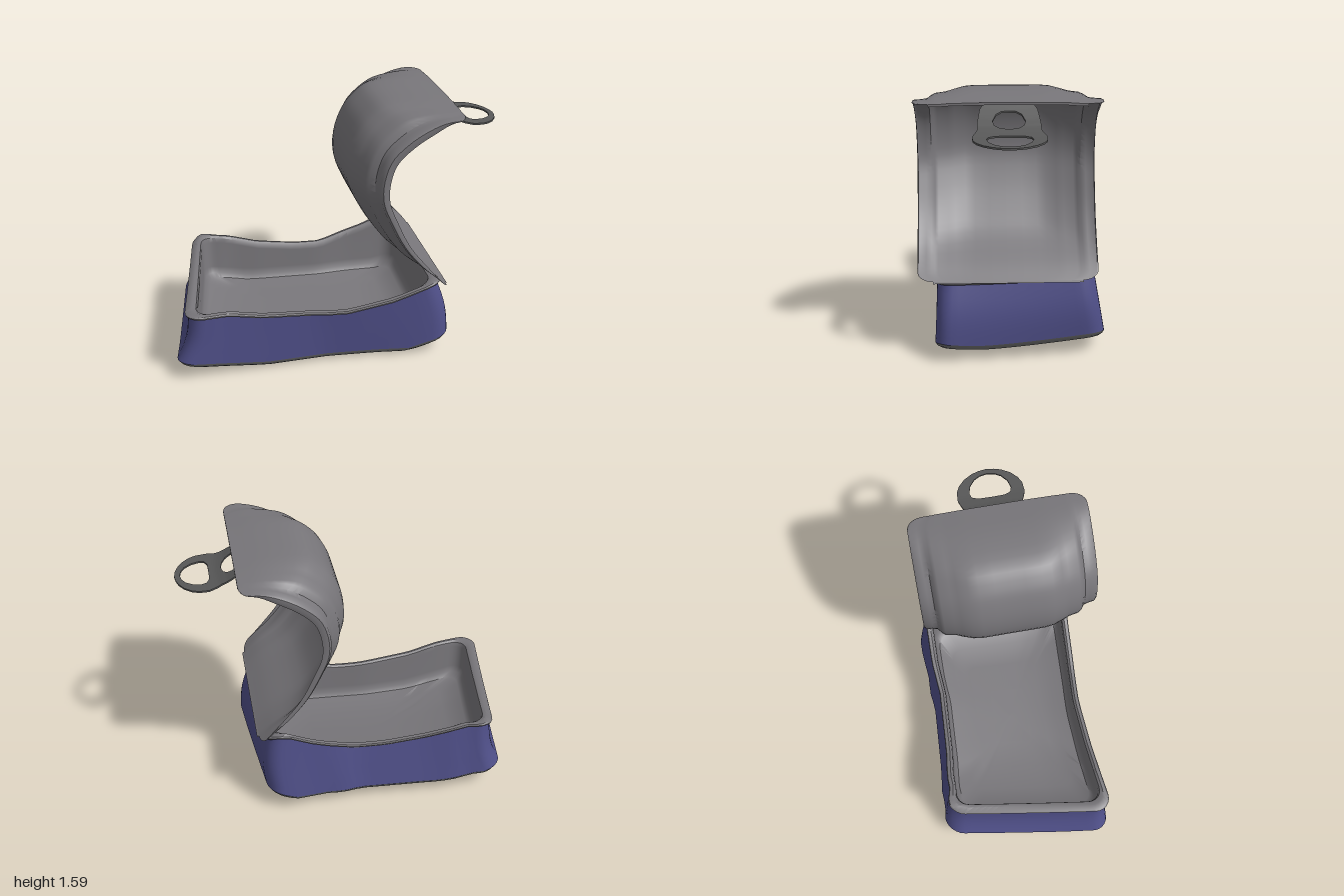
import * as THREE from 'three';
import { toCreasedNormals } from 'three/addons/utils/BufferGeometryUtils.js';

const { lerp, clamp } = THREE.MathUtils;
const METAL = 0x78767a, BASE = 0x727272, BLUE = 0x4f4f88, DARK = 0x585858;

// piecewise linear lookup through [x, value] pairs
function at(pts, x) {
  let i = 0;
  while (i < pts.length - 2 && x > pts[i + 1][0]) i++;
  const [[x0, v0], [x1, v1]] = [pts[i], pts[i + 1]];
  return lerp(v0, v1, clamp((x - x0) / (x1 - x0), 0, 1));
}

// skin between rows of points
function loft(rows, closed) {
  const n = rows[0].length, index = [];
  for (let i = 0; i < rows.length - 1; i++) {
    for (let j = 0; j < (closed ? n : n - 1); j++) {
      const k = (j + 1) % n, a = i * n + j, b = i * n + k;
      index.push(a, a + n, b, b, a + n, b + n);
    }
  }
  const geo = new THREE.BufferGeometry();
  geo.setAttribute('position', new THREE.Float32BufferAttribute(rows.flat().flatMap((p) => p.toArray()), 3));
  geo.setIndex(index);
  return toCreasedNormals(geo, 0.7);
}

function add(group, name, geo, color) {
  const mesh = new THREE.Mesh(geo, new THREE.MeshStandardMaterial({ color, side: THREE.DoubleSide }));
  mesh.name = name;
  group.add(mesh);
}

// rounded square outline in (a, b), both -1..1
function roundedSquare() {
  const rx = 0.14, rz = 0.2, out = [];
  const arc = (c, f) => {
    const w = (c + f) * Math.PI / 2;
    const sx = c % 4 === 0 || c % 4 === 3 ? 1 : -1, sz = c % 4 < 2 ? 1 : -1;
    return [sx * (1 - rx) + rx * Math.cos(w), sz * (1 - rz) + rz * Math.sin(w)];
  };
  for (let c = 0; c < 4; c++) {
    for (let i = 0; i <= 6; i++) out.push(arc(c, i / 6));
    const p = arc(c, 1), q = arc(c + 1, 0);
    for (let i = 1; i < 20; i++) out.push([lerp(p[0], q[0], i / 20), lerp(p[1], q[1], i / 20)]);
  }
  return out;
}

// dented edges of the can
const bottomBack = [[-0.85, -0.56], [-0.76, -0.565], [-0.68, -0.55], [-0.6, -0.56], [-0.42, -0.54], [0, -0.515], [0.12, -0.532], [0.2, -0.522], [0.42, -0.54], [0.65, -0.53]];
const bottomFront = [[-0.95, 0.47], [-0.75, 0.445], [-0.5, 0.42], [-0.1, 0.4], [0.2, 0.42], [0.6, 0.47]];
const topBack = [[-0.77, -0.52], [-0.65, -0.49], [-0.58, -0.495], [-0.4, -0.475], [0, -0.455], [0.2, -0.472], [0.5, -0.465]];
const topFront = [[-0.87, 0.46], [-0.7, 0.44], [-0.5, 0.425], [-0.2, 0.41], [0.1, 0.43], [0.5, 0.45]];
const rimBack = [[-0.92, 0.44], [-0.77, 0.49], [-0.62, 0.475], [-0.4, 0.42], [-0.15, 0.39], [0.02, 0.39], [0.3, 0.475], [0.45, 0.54], [0.52, 0.535], [0.6, 0.495]];
const rimFront = [[-0.95, 0.43], [-0.7, 0.425], [-0.5, 0.38], [-0.1, 0.345], [0.02, 0.345], [0.3, 0.4], [0.52, 0.48], [0.6, 0.49]];
const base = [[-1, 0.085], [-0.48, 0.005], [0.4, 0.005], [0.65, 0.09]];

const rimY = (x, b) => lerp(at(rimBack, x), at(rimFront, x), (b + 1) / 2);
const baseY = (x, b) => at(base, x) + 0.07 * Math.pow(Math.max(0, 0.4 - b) / 1.4, 1.3)
  + 0.02 * Math.pow(Math.max(0, (b - 0.4) / 0.6), 2);

function makeCan(group) {
  const outline = roundedSquare();
  // t: 0 base to 1 rim, s: scale towards the middle, height: function of x and b
  const ring = (t, s, height) => outline.map(([a0, b0]) => {
    const a = a0 * s, b = b0 * s, m = (b + 1) / 2;
    const left = lerp(lerp(-0.87, -1.025, m), lerp(-0.8, -0.945, m), t);
    const right = lerp(lerp(0.57, 0.665, m), lerp(0.56, 0.585, m), t);
    const x = lerp(left, right, (a + 1) / 2) + 0.02 * Math.sin(Math.PI * t);
    const back = lerp(at(bottomBack, x), at(topBack, x), t);
    const front = lerp(at(bottomFront, x), at(topFront, x), t);
    return new THREE.Vector3(x, height(x, b), lerp(back, front, m));
  });

  const bottom = [[0, 0], [0.25, 0], [0.5, 0], [0.7, 0], [0.85, 0], [0.955, 0], [0.985, 0.012], [1, 0.03]]
    .map(([s, up]) => ring(0, s, (x, b) => baseY(x, b) + up));
  add(group, 'canBottom', loft(bottom, true), BASE);

  const wall = [];
  for (let i = 0; i <= 8; i++) {
    const t = i / 8;
    wall.push(ring(t, 1, (x, b) => lerp(baseY(x, b) + 0.03, rimY(x, b) - 0.012, t)));
  }
  add(group, 'canWall', loft(wall, true), BLUE);

  // thin flared rim, then the steep inner wall down to the floor
  const rim = [[1, -0.014], [1.02, -0.01], [1.025, 0], [1.015, 0.008], [0.97, 0.012], [0.94, 0], [0.93, -0.03]]
    .map(([s, up]) => ring(1, s, (x, b) => rimY(x, b) + up));
  const floor = [[0.925, 0.07], [0.91, 0.03], [0.87, 0.006], [0.7, 0], [0.5, 0], [0.25, 0], [0, 0]]
    .map(([s, up]) => ring(0.9, s, (x, b) => baseY(x, b) + 0.1 + up));
  add(group, 'canRimAndInside', loft([...rim, ...floor], true), METAL);
}

// rolled-back lid: a shallow tray between a flange curve and a panel curve
function makeLid(group) {
  const curve = (pts) => new THREE.CatmullRomCurve3(pts.map(([x, y]) => new THREE.Vector3(x, y, 0)), false, 'centripetal');
  const flange = curve([[0.605, 0.507], [0.535, 0.58], [0.44, 0.68], [0.34, 0.81], [0.26, 0.97], [0.21, 1.1],
    [0.21, 1.22], [0.25, 1.34], [0.34, 1.43], [0.45, 1.5], [0.56, 1.55], [0.67, 1.56]]);
  const panel = curve([[0.605, 0.507], [0.51, 0.575], [0.3, 0.71], [0.2, 0.83], [0.11, 0.98], [0.05, 1.14],
    [0.06, 1.31], [0.12, 1.45], [0.18, 1.52], [0.26, 1.575], [0.45, 1.59], [0.67, 1.57]]);
  const half = 0.522, centre = 0.037, corner = 0.09;
  // [inset from the side, blend from flange to panel]
  const side = [[0.006, -0.12], [0, 0], [0, 0.12], [0.012, 0.2], [0.05, 0.24], [0.08, 0.3], [0.1, 0.5], [0.12, 0.6], [0.18, 0.68], [0.22, 0.8], [0.28, 0.95], [0.34, 1], [0.43, 1]];
  const columns = [...side.map(([d, k]) => [1 - d / half, k]), [0, 1], ...side.map(([d, k]) => [d / half - 1, k]).reverse()];

  const ts = [0, 0.003, 0.01, 0.02, 0.035, 0.05];
  const steps = [...ts, ...Array.from({ length: 35 }, (_, i) => 0.075 + i * 0.025), ...ts.map((t) => 1 - t).reverse()];
  const rows = steps.map((t) => {
    const f = flange.getPoint(t), p = panel.getPoint(t);
    const end = Math.max(0, corner - Math.min(t, 1 - t) * 1.5);
    const width = half - corner + Math.sqrt(corner * corner - end * end);
    return columns.map(([v, k]) => {
      const q = f.clone().lerp(p, k);
      q.z = centre + v * width;
      return q;
    });
  });
  add(group, 'lid', loft(rows, false), METAL);

  // turned lip along both ends of the lid
  for (const [name, row, x, y] of [['lidHingeLip', rows[0], 0.012, -0.008], ['lidFrontLip', rows[rows.length - 1], 0, -0.014]]) {
    const lip = row.map((p) => p.clone().add(new THREE.Vector3(x, y, 0)));
    add(group, name, loft([row, lip], false), METAL);
  }
}

// pull tab: two mirrored halves swept along x around two holes, bent down
function makeTab(group) {
  const outer = [[0.54, 0.11], [0.55, 0.125], [0.6, 0.158], [0.68, 0.172], [0.74, 0.174], [0.78, 0.19], [0.81, 0.2],
    [0.87, 0.196], [0.91, 0.177], [0.95, 0.14], [0.98, 0.09], [0.994, 0.045], [1, 0]];
  const inner = [[0.61, 0], [0.612, 0.04], [0.63, 0.07], [0.67, 0.09], [0.7, 0.08], [0.722, 0.05], [0.732, 0],
    [0.803, 0], [0.805, 0.08], [0.82, 0.115], [0.85, 0.125], [0.9, 0.112], [0.94, 0.08], [0.96, 0.045], [0.968, 0]];
  const bend = [[0.54, 1.56], [0.6, 1.515], [0.66, 1.475], [0.71, 1.447], [0.76, 1.428], [0.82, 1.418], [1, 1.408]];
  const xs = [...outer, ...inner, ...bend].map(([x]) => x).sort((a, b) => a - b);
  const tab = new THREE.Group();
  tab.name = 'pullTab';
  for (const sign of [-1, 1]) {
    const rows = xs.map((x) => {
      const y = at(bend, x), i = sign * at(inner, x), o = sign * at(outer, x);
      return [[i, 0], [o, 0], [o, -0.01], [i, -0.01]].map(([z, d]) => new THREE.Vector3(x, y + d, 0.035 + z));
    });
    add(tab, sign > 0 ? 'tabLeftHalf' : 'tabRightHalf', loft(rows, true), DARK);
  }
  group.add(tab);
}

export function createModel() {
  const group = new THREE.Group();
  group.name = 'openedTin';
  makeCan(group);
  makeLid(group);
  makeTab(group);
  return group;
}
